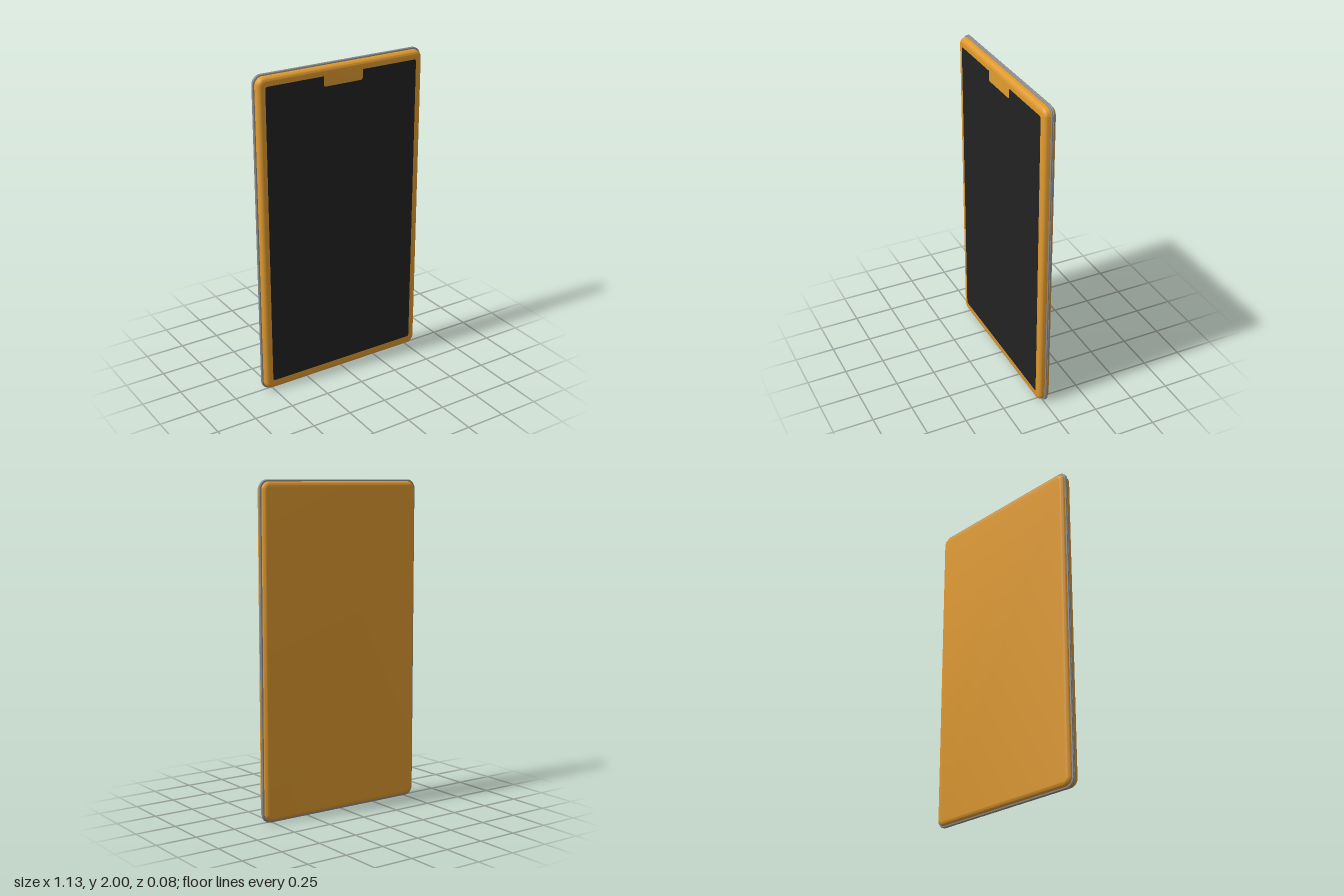
import * as THREE from 'three';
import { toCreasedNormals } from 'three/addons/utils/BufferGeometryUtils.js';

const MID_Y = 1;

// Rounded rectangle centred on the origin
function roundedRect(w, h, r, target = new THREE.Shape()) {
  const x = w / 2, y = h / 2;
  target.absarc(x - r, y - r, r, 0, Math.PI / 2);
  target.absarc(-x + r, y - r, r, Math.PI / 2, Math.PI);
  target.absarc(-x + r, -y + r, r, Math.PI, Math.PI * 1.5);
  target.absarc(x - r, -y + r, r, Math.PI * 1.5, Math.PI * 2);
  target.closePath();
  return target;
}

// Slab between two z values with rounded edges; the shape is grown by the bevel
function slab(name, shape, z0, z1, bevel, color) {
  const geometry = new THREE.ExtrudeGeometry(shape, {
    depth: z1 - z0 - 2 * bevel,
    bevelEnabled: bevel > 0,
    bevelSize: bevel,
    bevelThickness: bevel,
    bevelSegments: 6,
    curveSegments: 10,
  });
  geometry.translate(0, MID_Y, z0 + bevel);
  const mesh = new THREE.Mesh(
    toCreasedNormals(geometry, Math.PI / 5),
    new THREE.MeshStandardMaterial({ color })
  );
  mesh.name = name;
  return mesh;
}

// Screen outline with a notch cut into its top edge
function screenShape() {
  const x = 0.508, top = 0.937, bottom = -0.932, r = 0.015;
  const nx = 0.132, ny = 0.875, nr = 0.015;
  const s = new THREE.Shape();
  s.moveTo(-x + r, bottom);
  s.lineTo(x - r, bottom);
  s.quadraticCurveTo(x, bottom, x, bottom + r);
  s.lineTo(x, top - r);
  s.quadraticCurveTo(x, top, x - r, top);
  s.lineTo(nx, top);
  s.lineTo(nx, ny + nr);
  s.quadraticCurveTo(nx, ny, nx - nr, ny);
  s.lineTo(-nx + nr, ny);
  s.quadraticCurveTo(-nx, ny, -nx, ny + nr);
  s.lineTo(-nx, top);
  s.lineTo(-x + r, top);
  s.quadraticCurveTo(-x, top, -x, top - r);
  s.lineTo(-x, bottom + r);
  s.quadraticCurveTo(-x, bottom, -x + r, bottom);
  return s;
}

export function createModel() {
  const group = new THREE.Group();
  group.name = 'tablet';

  // Case with softly rounded edges
  const b = 0.026;
  const bodyShape = roundedRect(1.112 - 2 * b, 1.98 - 2 * b, 0.05 - b);
  group.add(slab('body', bodyShape, -0.038, 0.0375, b, 0xe09a30));

  // Trim band around the sides: two rounded rings with a seam between them
  const t = 0.0045;
  const rings = [['rearTrim', -0.019], ['frontTrim', -0.0095]];
  for (const [name, z] of rings) {
    const ring = roundedRect(1.13 - 2 * t, 2 - 2 * t, 0.055 - t);
    ring.holes.push(roundedRect(1.08, 1.95, 0.03, new THREE.Path()));
    group.add(slab(name, ring, z, z + 0.0095, t, 0x8c8c8c));
  }

  // Dark screen, nearly flush with the front
  group.add(slab('screen', screenShape(), 0.036, 0.0385, 0, 0x222222));

  return group;
}
